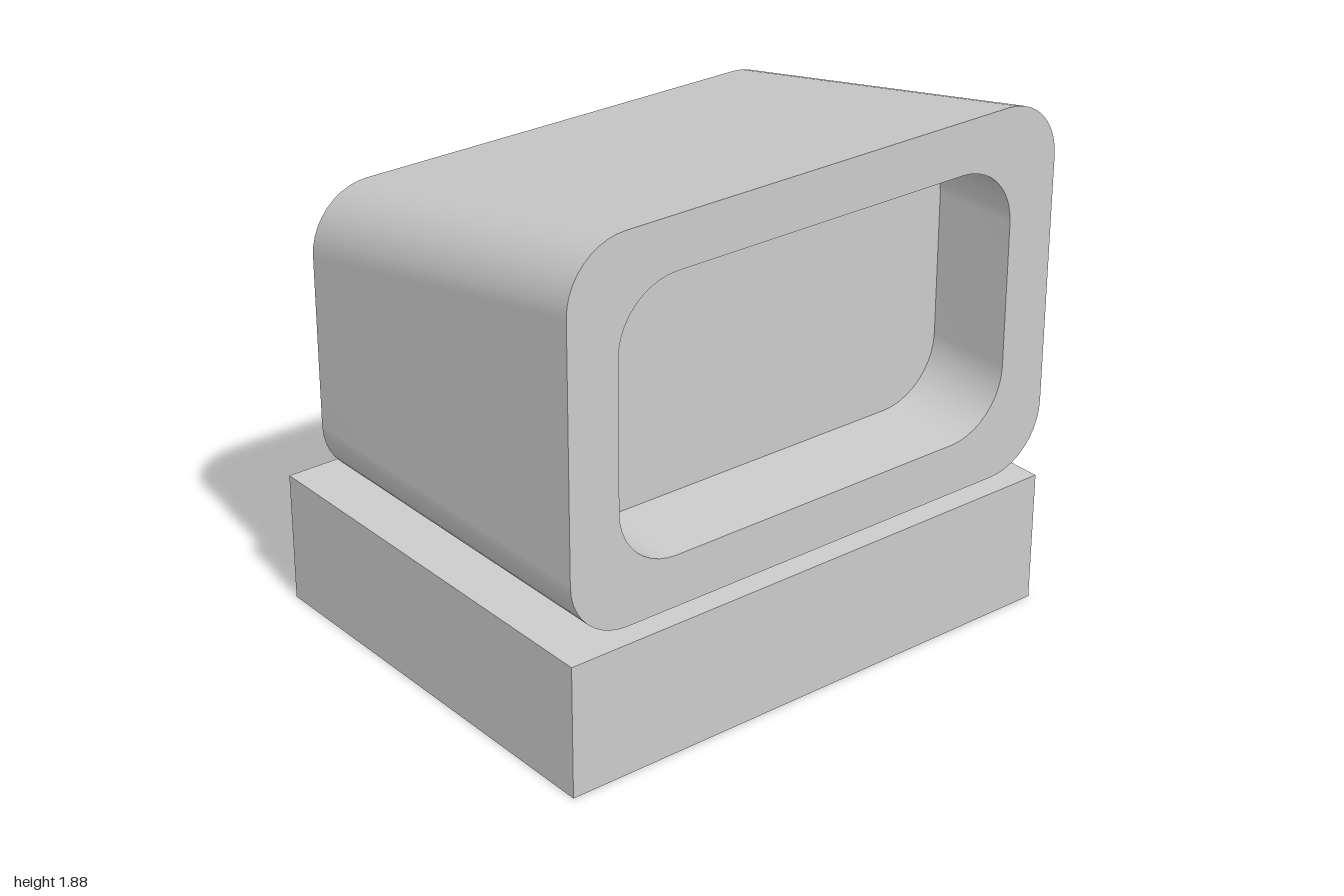
import * as THREE from 'three';
import { mergeGeometries } from 'three/addons/utils/BufferGeometryUtils.js';

const CORNER_STEPS = 10;

// Rounded rectangle at depth z, counter-clockwise seen from the front
function ring(halfW, bottom, top, r, z) {
  const points = [];
  const centres = [[halfW - r, bottom + r], [halfW - r, top - r], [r - halfW, top - r], [r - halfW, bottom + r]];
  centres.forEach(([cx, cy], corner) => {
    for (let i = 0; i <= CORNER_STEPS; i++) {
      const a = (corner - 1 + i / CORNER_STEPS) * Math.PI / 2;
      points.push(new THREE.Vector3(cx + r * Math.cos(a), cy + r * Math.sin(a), z));
    }
  });
  return points;
}

function indexed(points, index) {
  const g = new THREE.BufferGeometry().setFromPoints(points);
  g.setIndex(index);
  g.computeVertexNormals();
  return g;
}

// Wall between two rings, smooth around its corners
function band(a, b) {
  const n = a.length, index = [];
  for (let i = 0; i < n; i++) {
    const j = (i + 1) % n;
    index.push(i, j, n + j, i, n + j, n + i);
  }
  return indexed([...a, ...b], index);
}

// Flat face filling a ring
function cap(points, facesFront) {
  const n = points.length, index = [];
  const centre = points.reduce((s, p) => s.add(p), new THREE.Vector3()).divideScalar(n);
  for (let i = 0; i < n; i++) {
    const j = (i + 1) % n;
    index.push(n, facesFront ? i : j, facesFront ? j : i);
  }
  return indexed([...points, centre], index);
}

// Skin through a series of rings, closed at both ends
function skin(rings) {
  const parts = [cap(rings[0], false), cap(rings[rings.length - 1], true)];
  for (let i = 1; i < rings.length; i++) parts.push(band(rings[i - 1], rings[i]));
  return mergeGeometries(parts);
}

export function createModel() {
  const model = new THREE.Group();
  const material = new THREE.MeshStandardMaterial({ color: 0xcccccc });
  const add = (name, geometry) => {
    const mesh = new THREE.Mesh(geometry, material);
    mesh.name = name;
    model.add(mesh);
    return mesh;
  };

  // Flat base unit
  add('base', new THREE.BoxGeometry(2, 0.48, 1.6)).position.y = 0.24;

  // Housing: sloping top, front frame and sunken screen
  add('monitorHousing', skin([
    ring(1, 0.545, 1.605, 0.22, -0.57),
    ring(1, 0.545, 1.885, 0.22, 0.8),
    ring(0.81, 0.73, 1.7, 0.225, 0.8),
    ring(0.81, 0.73, 1.7, 0.225, 0.47),
  ]));

  // Raised panel on the back, its top sloping down
  add('backPanel', skin([
    ring(0.82, 0.715, 1.375, 0.2, -0.69),
    ring(0.82, 0.715, 1.435, 0.2, -0.57),
  ]));

  return model;
}
